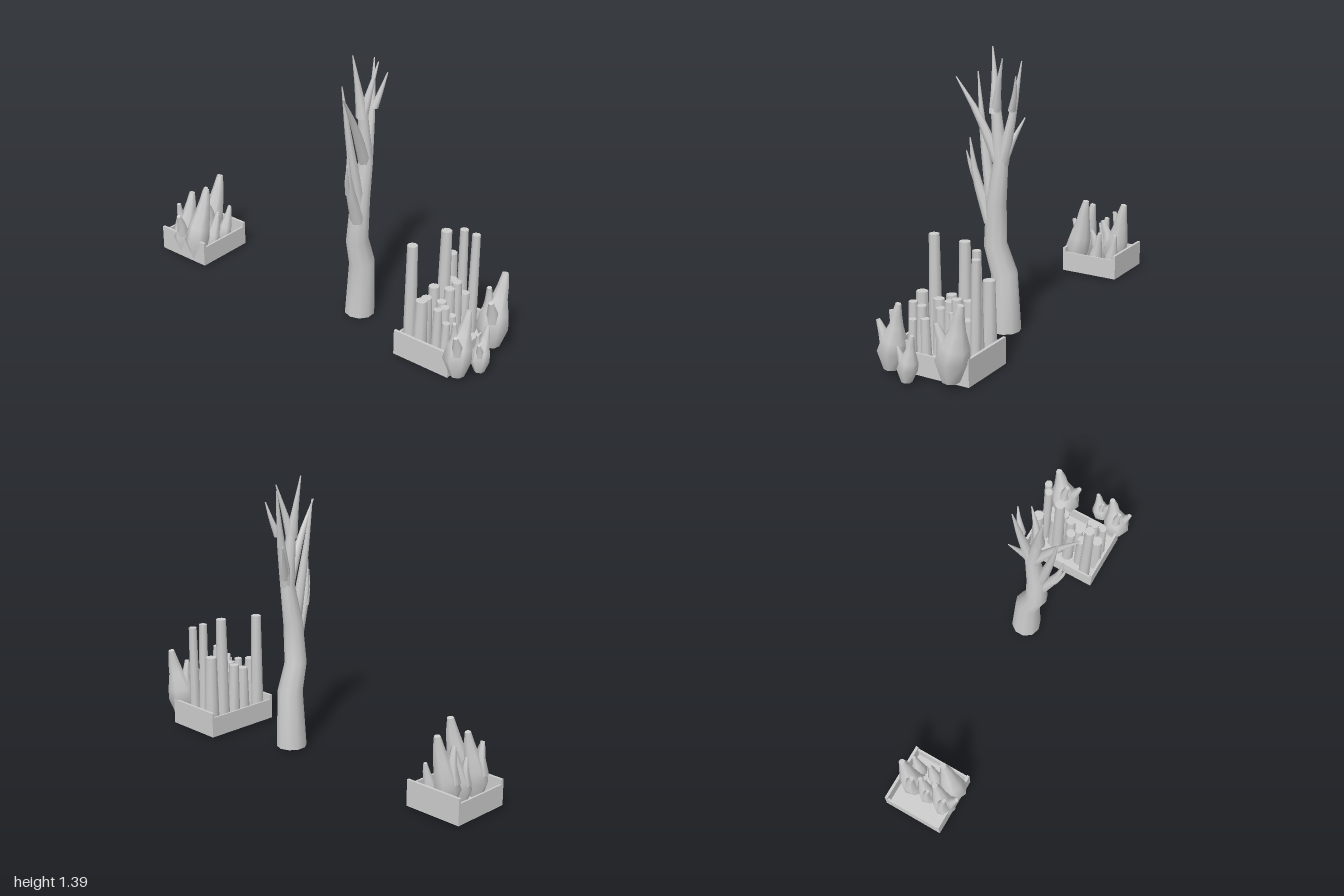
import * as THREE from 'three';

const stone = new THREE.MeshStandardMaterial({ color: 0xcccccc });
stone.name = 'pale grey';

// Tapered limb: each station is [x, y, z, radius], closed with flat caps
function limb(name, stations, sides = 7) {
  const pos = [], idx = [];
  const pts = stations.map(s => new THREE.Vector3(s[0], s[1], s[2]));
  const up = new THREE.Vector3(0, 1, 0);
  const ref = new THREE.Vector3(0, 0, 1);
  const last = pts.length - 1;
  pts.forEach((p, i) => {
    const t = pts[Math.min(i + 1, last)].clone().sub(pts[Math.max(i - 1, 0)]).normalize();
    // The foot stays nearly level
    if (i === 0) t.lerp(up, 0.6).normalize();
    const u = ref.clone().cross(t).normalize();
    const w = t.clone().cross(u);
    for (let j = 0; j < sides; j++) {
      const a = (j / sides) * Math.PI * 2, r = stations[i][3];
      const v = p.clone().addScaledVector(u, Math.cos(a) * r).addScaledVector(w, Math.sin(a) * r);
      pos.push(v.x, v.y, v.z);
    }
  });
  for (let i = 0; i < last; i++) {
    for (let j = 0; j < sides; j++) {
      const a = i * sides + j, b = i * sides + (j + 1) % sides;
      idx.push(a, b, b + sides, a, b + sides, a + sides);
    }
  }
  // Caps use their own vertices so their rims stay sharp
  for (const end of [0, last]) {
    const start = pos.length / 3;
    for (let j = 0; j < sides; j++) {
      const k = (end * sides + j) * 3;
      pos.push(pos[k], pos[k + 1], pos[k + 2]);
    }
    for (let j = 1; j < sides - 1; j++) {
      if (end) idx.push(start, start + j, start + j + 1);
      else idx.push(start, start + j + 1, start + j);
    }
  }
  const geo = new THREE.BufferGeometry();
  geo.setAttribute('position', new THREE.Float32BufferAttribute(pos, 3));
  geo.setIndex(idx);
  geo.computeVertexNormals();
  const mesh = new THREE.Mesh(geo, stone);
  mesh.name = name;
  return mesh;
}

// Curved branch from the trunk through a middle point to a sharp tip
function branch([x0, y0, xm, ym, x1, y1, z1, r]) {
  const z0 = 0.232;
  const curve = new THREE.CatmullRomCurve3([
    new THREE.Vector3(x0, y0, z0),
    new THREE.Vector3(xm, ym, (z0 + z1) / 2),
    new THREE.Vector3(x1, y1, z1)]);
  const steps = 5;
  const stations = curve.getPoints(steps).map((p, i) => [p.x, p.y, p.z, r * (1 - i / steps) + 0.003]);
  return limb('branch', stations);
}

// Open box with taller side boards
function tray(name, x0, x1, z0, z1) {
  const g = new THREE.Group();
  g.name = name;
  const board = (n, ax, bx, ay, by, az, bz) => {
    const m = new THREE.Mesh(new THREE.BoxGeometry(bx - ax, by - ay, bz - az), stone);
    m.position.set((ax + bx) / 2, (ay + by) / 2, (az + bz) / 2);
    m.name = n;
    g.add(m);
  };
  const t = 0.014;
  board('trayFloor', x0 + t, x1 - t, 0.012, 0.03, z0 + 0.008, z1 - 0.008);
  board('leftBoard', x1 - t, x1, 0.01, 0.14, z0, z1);
  board('rightBoard', x0, x0 + t, 0.01, 0.14, z0, z1);
  board('frontBoard', x0 + t, x1 - t, 0.01, 0.115, z1 - 0.01, z1);
  board('backBoard', x0 + t, x1 - t, 0.01, 0.115, z0, z0 + 0.01);
  return g;
}

// Pear-shaped coral with a leaning neck and optional side shoots
function coral(x, y, z, s, shoots = true, fat = 1) {
  const g = new THREE.Group();
  g.name = 'bulbCoral';
  g.position.set(x, y, z);
  g.scale.setScalar(s);
  g.add(limb('coralBody', [
    [0, 0, 0, 0.04 * fat], [0.003, 0.1, -0.005, 0.08 * fat], [0.022, 0.17, -0.005, 0.069 * fat],
    [0.042, 0.25, 0.005, 0.038], [0.052, 0.31, 0.012, 0.028], [0.064, 0.37, 0.012, 0.016]]));
  if (shoots) {
    g.add(limb('coralShoot', [[-0.02, 0.13, 0.01, 0.035], [-0.035, 0.2, 0.015, 0.026], [-0.06, 0.265, 0.02, 0.012]], 6));
    g.add(limb('coralShoot', [[0, 0.14, -0.03, 0.04], [0.005, 0.23, -0.03, 0.022], [-0.01, 0.31, -0.025, 0.012]], 6));
  }
  return g;
}

// Upright tube coral, slightly wider at the foot
function tube([x, z, h, r], i) {
  const lean = 0.008 * Math.sin(i * 2.4);
  return limb('tubeCoral', [[x - lean, 0.02, z, r * 1.2], [x - lean / 2, h * 0.4, z, r * 1.12], [x, h, z, r * 0.93]], 8);
}

export function createModel() {
  const model = new THREE.Group();
  model.name = 'coralAndTreeSet';

  // Bare tree
  const tree = new THREE.Group();
  tree.name = 'bareTree';
  tree.add(limb('trunk', [
    [0, 0.01, 0.203, 0.076], [0, 0.3, 0.212, 0.064], [-0.045, 0.44, 0.218, 0.056],
    [-0.035, 0.65, 0.225, 0.049], [-0.005, 0.85, 0.232, 0.036], [-0.03, 1.1, 0.23, 0.024]], 10));
  // Start x, y; middle x, y; tip x, y, z; radius
  const boughs = [
    [-0.034, 1.08, -0.045, 1.22, -0.066, 1.385, 0.197, 0.028],
    [-0.03, 1.09, -0.005, 1.21, 0.03, 1.345, 0.27, 0.023],
    [-0.01, 0.84, -0.12, 1.075, -0.222, 1.24, 0.27, 0.028],
    [-0.05, 0.62, -0.11, 0.98, -0.145, 1.26, 0.2, 0.03],
    [-0.06, 0.55, -0.137, 0.77, -0.162, 0.955, 0.25, 0.032],
    [-0.13, 0.72, -0.162, 0.81, -0.177, 0.89, 0.258, 0.014],
    [0, 0.84, 0.055, 1.1, 0.09, 1.33, 0.2, 0.03],
    [0.055, 1.1, 0.083, 1.19, 0.1, 1.27, 0.27, 0.016],
    [0.01, 0.86, 0.045, 0.96, 0.088, 1.06, 0.165, 0.021],
  ];
  boughs.forEach(b => tree.add(branch(b)));
  model.add(tree);

  // Front tray with tube corals: x, z, height, radius
  model.add(tray('frontTray', -0.195, 0.22, 0.56, 0.87));
  const tallTubes = [
    [-0.13, 0.605, 0.585, 0.027], [0.068, 0.655, 0.595, 0.028], [0.155, 0.695, 0.578, 0.022],
    [0.183, 0.745, 0.555, 0.022], [0.17, 0.62, 0.42, 0.031],
  ];
  const shortTubes = [
    [-0.075, 0.655, 0.3, 0.028], [-0.15, 0.68, 0.33, 0.03], [-0.01, 0.65, 0.33, 0.027],
    [0.025, 0.715, 0.325, 0.027], [0.068, 0.725, 0.345, 0.026], [0.1, 0.68, 0.33, 0.026],
    [0.13, 0.73, 0.26, 0.026], [-0.03, 0.71, 0.28, 0.025], [-0.14, 0.765, 0.31, 0.022],
    [-0.09, 0.77, 0.3, 0.024], [-0.06, 0.79, 0.25, 0.022], [-0.12, 0.8, 0.24, 0.02],
  ];
  tallTubes.forEach((t, i) => model.add(tube(t, i)));
  shortTubes.forEach((t, i) => model.add(tube(t, i)));

  // Bulb corals in front of the tray
  model.add(coral(0.14, 0.03, 0.89, 1), coral(-0.168, 0.03, 0.905, 0.87), coral(-0.052, 0.01, 0.951, 0.61));

  // Back tray with two rows of bulb corals: x, y, z, scale, shoots
  model.add(tray('backTray', -0.18, 0.135, -1, -0.695));
  const rear = [
    [-0.145, 0.015, -0.775, 1.04, false], [-0.145, 0.015, -0.87, 0.92, true],
    [-0.035, 0, -0.775, 0.62, false], [-0.045, 0.015, -0.865, 0.75, true],
    [0.06, 0.015, -0.775, 0.58, false], [0.045, 0.015, -0.855, 1, true],
  ];
  rear.forEach(c => model.add(coral(...c, 0.8)));

  return model;
}
